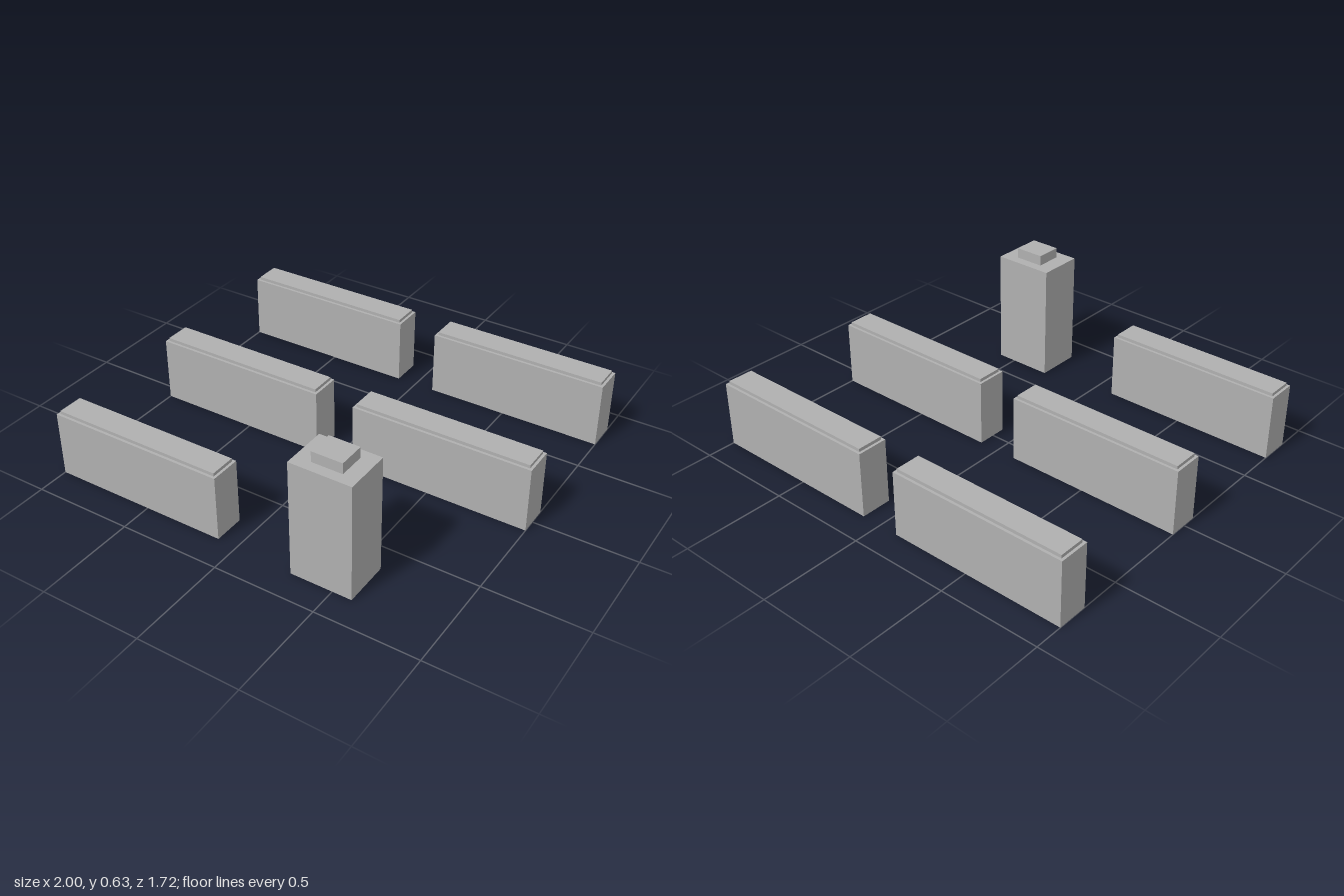
import * as THREE from 'three';

// Hollow rectangular shell, open underneath; each level is [width, depth, y, x offset, z offset]
function steppedShell(levels) {
  const loops = levels.map(([w, d, y, ox = 0, oz = 0]) =>
    [[-1, 1], [1, 1], [1, -1], [-1, -1]].map(([sx, sz]) => [ox + sx * w / 2, y, oz + sz * d / 2]));
  const pos = [];
  const quad = (a, b, c, d) => pos.push(...a, ...b, ...c, ...a, ...c, ...d);
  for (let k = 0; k + 1 < loops.length; k++) {
    for (let i = 0; i < 4; i++) {
      const j = (i + 1) % 4;
      quad(loops[k][i], loops[k][j], loops[k + 1][j], loops[k + 1][i]);
    }
  }
  quad(...loops[loops.length - 1]); // flat roof
  const geometry = new THREE.BufferGeometry();
  geometry.setAttribute('position', new THREE.Float32BufferAttribute(pos, 3));
  geometry.computeVertexNormals();
  return geometry;
}

export function createModel() {
  const group = new THREE.Group();
  group.name = 'buildingEstate';
  const concrete = new THREE.MeshStandardMaterial({ color: 0xb0b0b0, side: THREE.DoubleSide });
  concrete.name = 'concreteGrey';

  const add = (name, geometry, x, z) => {
    const mesh = new THREE.Mesh(geometry, concrete);
    mesh.name = name;
    mesh.position.set(x, 0, z);
    group.add(mesh);
  };

  // Five long slab blocks with a low raised roof
  const slab = steppedShell([
    [0.9, 0.154, 0], [0.9, 0.154, 0.326], [0.874, 0.128, 0.326], [0.874, 0.128, 0.342],
  ]);
  const rows = [['back', -0.781], ['middle', -0.007], ['front', 0.766]];
  for (const [row, z] of rows) {
    add(row + 'RightSlab', slab, -0.55, z);
    if (row !== 'front') add(row + 'LeftSlab', slab, 0.55, z);
  }

  // Tower block with a rooftop plant room
  const tower = steppedShell([
    [0.304, 0.23, 0], [0.304, 0.23, 0.58],
    [0.15, 0.13, 0.58, 0.002, -0.001], [0.15, 0.13, 0.632, 0.002, -0.001],
  ]);
  add('tower', tower, 0.443, 0.743);
  return group;
}
